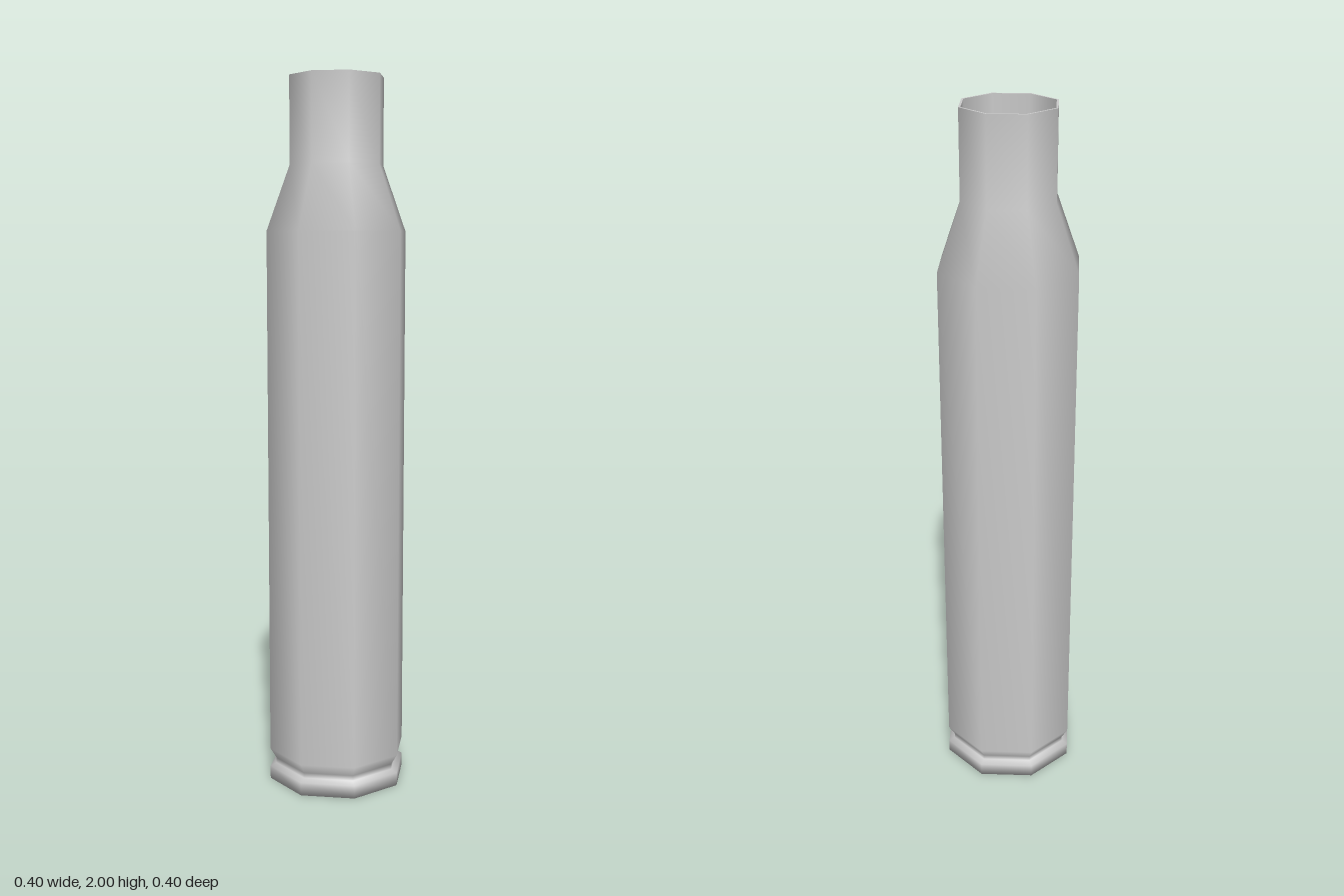
import * as THREE from 'three';

const SIDES = 8;
const material = new THREE.MeshStandardMaterial({ color: 0xcccccc });

// Revolves a profile of [radius, height] pairs into an eight-sided smooth surface.
function turned(name, profile) {
  const points = profile.map(([r, y]) => new THREE.Vector2(r, y));
  const mesh = new THREE.Mesh(new THREE.LatheGeometry(points, SIDES), material);
  mesh.name = name;
  return mesh;
}

export function createModel() {
  const group = new THREE.Group();
  group.name = 'cartridgeCase';

  // Base, rim, extractor groove, body, shoulder and neck
  group.add(turned('outerShell', [
    [0, 0], [0.2, 0], [0.2, 0.037],
    [0.182, 0.045], [0.182, 0.06], [0.2, 0.09],
    [0.2, 1.58], [0.134, 1.76], [0.134, 2],
  ]));

  // Flat ring around the mouth
  group.add(turned('mouthLip', [[0.134, 2], [0.128, 2]]));

  // Hollow inside with a closed floor
  group.add(turned('bore', [[0.128, 2], [0.128, 0.15], [0, 0.15]]));

  return group;
}
